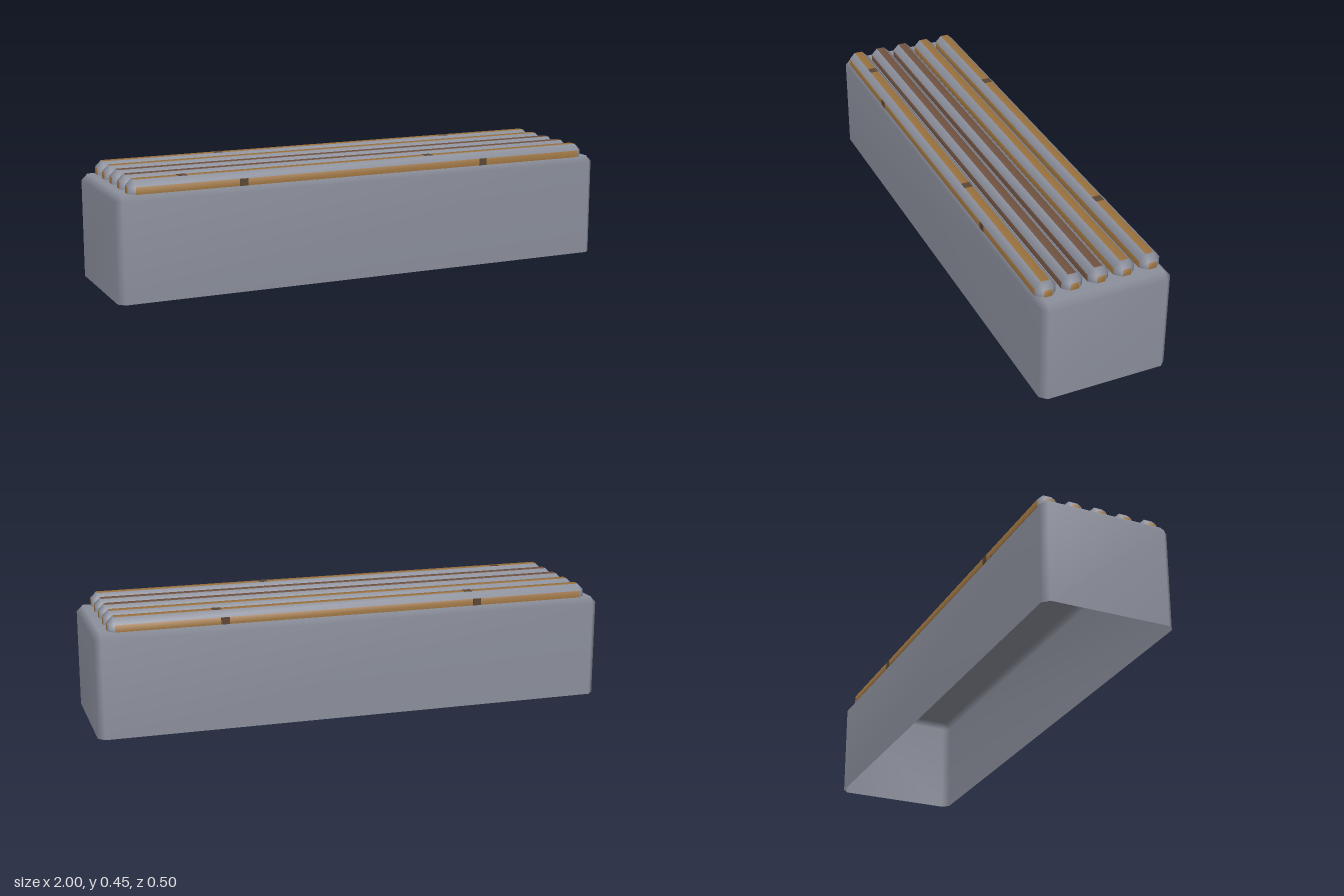
import * as THREE from 'three';

function mat(name, color) {
  const m = new THREE.MeshStandardMaterial({ color, side: THREE.DoubleSide });
  m.name = name;
  return m;
}

// Open-bottomed block with chamfered upright and top edges.
// Material slots: 0 chamfers, 1 ends, 2 long sides, 3 top.
function chamferedBlock(length, height, depth, c) {
  const hx = length / 2, hz = depth / 2;
  const corners = [[1, 1], [1, -1], [-1, -1], [-1, 1]];
  const ring = [];
  corners.forEach(([sx, sz], k) => {
    const pair = [[sx * (hx - c), sz * hz], [sx * hx, sz * (hz - c)]];
    ring.push(...(k % 2 ? pair.reverse() : pair));
  });
  const pos = [];
  for (const y of [0, height - c]) for (const [x, z] of ring) pos.push(x, y, z);
  for (const [sx, sz] of corners) pos.push(sx * (hx - c), height, sz * (hz - c));

  const slots = [[], [], [], []];
  const quad = (slot, a, b, d, e) => slots[slot].push(a, b, d, a, d, e);
  for (let k = 0; k < 4; k++) {
    const a = 2 * k, b = a + 1, n = (a + 2) % 8;
    const top = 16 + k, topNext = 16 + (k + 1) % 4;
    quad(0, a, b, b + 8, a + 8);                    // upright chamfer
    quad(k % 2 ? 2 : 1, b, n, n + 8, b + 8);        // wall
    slots[0].push(a + 8, b + 8, top);               // corner
    quad(0, b + 8, n + 8, topNext, top);            // top chamfer
  }
  quad(3, 16, 17, 18, 19);

  const g = new THREE.BufferGeometry();
  g.setAttribute('position', new THREE.Float32BufferAttribute(pos, 3));
  g.setIndex(slots.flat());
  let start = 0;
  slots.forEach((s, i) => { g.addGroup(start, s.length, i); start += s.length; });
  g.computeVertexNormals(); // area weighted: flat faces, soft chamfers
  return g;
}

export function createModel() {
  const model = new THREE.Group();
  model.name = 'slattedBench';

  const stone = mat('grey stone', 0x8b8f9b);
  const wood = mat('light wood', 0x9c733f);
  const darkWood = mat('dark wood', 0x725442);
  const knot = mat('wood joint', 0x5c4634);

  // Solid base
  const base = new THREE.Mesh(chamferedBlock(2, 0.4, 0.5, 0.024), [stone, stone, stone, stone]);
  base.name = 'base';
  model.add(base);

  // Five slats along the top, wooden faces with grey edges
  const width = 0.08, height = 0.051;
  const slatGeometry = chamferedBlock(1.896, height, width, 0.024);
  const slats = [
    { z: 0.207, top: wood, topJoints: [-0.74, 0.26], sideJoints: [-0.515, 0.485], side: 1 },
    { z: 0.106, top: darkWood },
    { z: 0.006, top: darkWood },
    { z: -0.094, top: wood },
    { z: -0.194, top: wood, topJoints: [-0.46, 0.54], sideJoints: [-0.485, 0.515], side: -1 },
  ];
  slats.forEach(({ z, top, topJoints = [], sideJoints = [], side = 1 }, i) => {
    const slat = new THREE.Group();
    slat.name = 'slat' + (i + 1);
    slat.position.set(-0.002, 0.4, z);
    const beam = new THREE.Mesh(slatGeometry, [stone, wood, top, top]);
    beam.name = 'slatBeam';
    slat.add(beam);

    // Thin dark joints in the wood
    const addJoint = (x, y, dz, h, d) => {
      const joint = new THREE.Mesh(new THREE.BoxGeometry(0.032, h, d), knot);
      joint.name = 'woodJoint';
      joint.position.set(x, y, dz);
      slat.add(joint);
    };
    topJoints.forEach((x) => addJoint(x, height, 0, 0.003, 0.032));
    sideJoints.forEach((x) => addJoint(x, 0.0135, side * width / 2, 0.027, 0.003));
    model.add(slat);
  });

  return model;
}
